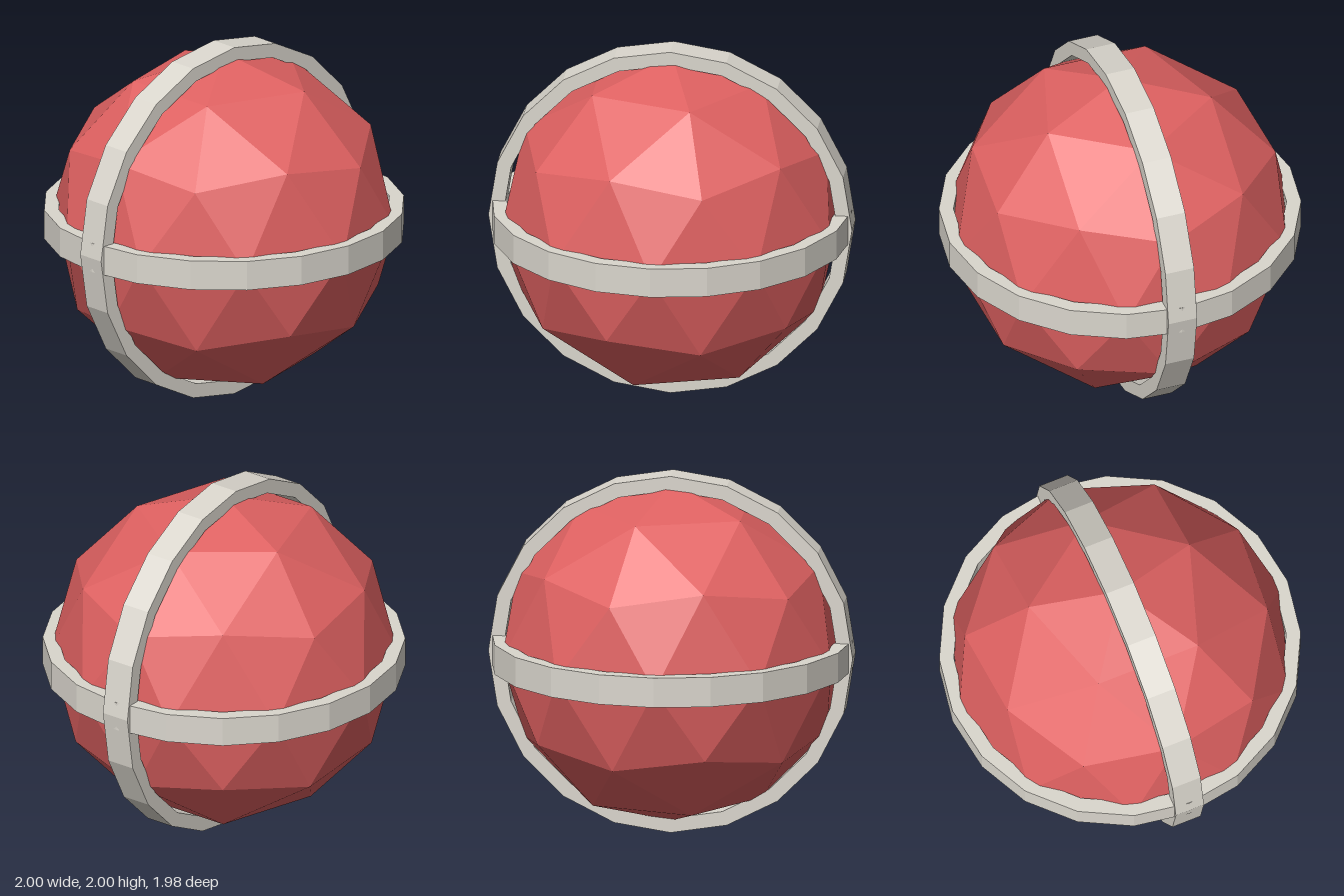
import * as THREE from 'three';

export function createModel() {
  const group = new THREE.Group();
  const red = new THREE.MeshStandardMaterial({ name: 'coral red', color: 0xdf6161, flatShading: true });
  const grey = new THREE.MeshStandardMaterial({ name: 'warm light grey', color: 0xdad6cd, flatShading: true });

  // Faceted ball, tilted so that a five-sided corner points straight up
  const ballGeometry = new THREE.IcosahedronGeometry(0.95, 1);
  ballGeometry.rotateZ(-Math.atan(2 / (1 + Math.sqrt(5))));
  ballGeometry.computeVertexNormals();
  const ball = new THREE.Mesh(ballGeometry, red);
  ball.name = 'ball';
  group.add(ball);

  // Flat band with a rectangular section and twenty sides
  const addBand = (name, outer, inner) => {
    const h = 0.083;
    const profile = [[inner, -h], [outer, -h], [outer, h], [inner, h], [inner, -h]]
      .map(([r, y]) => new THREE.Vector2(r, y));
    const band = new THREE.Mesh(new THREE.LatheGeometry(profile, 20), grey);
    band.name = name;
    group.add(band);
    return band;
  };
  addBand('horizontalBand', 0.99, 0.91);
  addBand('verticalBand', 1, 0.92).rotation.x = Math.PI / 2;

  group.position.y = 1;
  return group;
}
